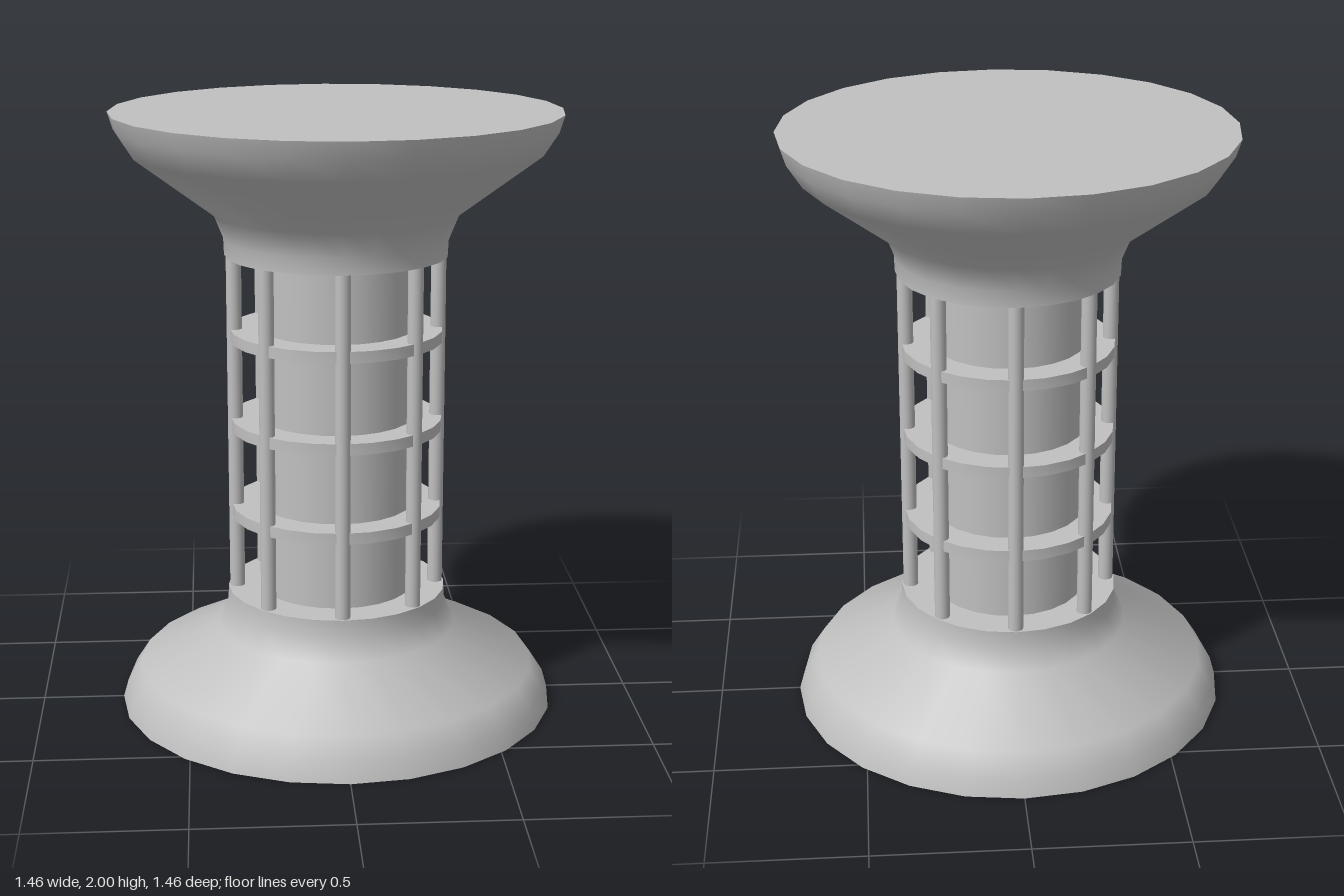
import * as THREE from 'three';
import { toCreasedNormals } from 'three/addons/utils/BufferGeometryUtils.js';

const SIDES = 24;
const CAGE_BOTTOM = 0.4;
const CAGE_TOP = 1.535;

// Solid of revolution with smooth flanks and sharp rims
function turned(name, points, material) {
  const profile = points.map(([r, y]) => new THREE.Vector2(r, y));
  const geometry = toCreasedNormals(new THREE.LatheGeometry(profile, SIDES), 1.0);
  const mesh = new THREE.Mesh(geometry, material);
  mesh.name = name;
  return mesh;
}

export function createModel() {
  const model = new THREE.Group();
  model.name = 'cagedPedestal';
  const grey = new THREE.MeshStandardMaterial({ color: 0xc0c0c0 });
  grey.name = 'grey';

  // Flared foot and head
  model.add(turned('base', [
    [0, 0], [0.73, 0], [0.713, 0.06], [0.665, 0.135], [0.4, 0.268],
    [0.367, 0.345], [0.365, CAGE_BOTTOM], [0, CAGE_BOTTOM],
  ], grey));
  model.add(turned('head', [
    [0, CAGE_TOP], [0.365, CAGE_TOP], [0.367, 1.59], [0.4, 1.672],
    [0.665, 1.87], [0.713, 1.945], [0.73, 2], [0, 2],
  ], grey));

  // Central column
  const height = CAGE_TOP - CAGE_BOTTOM;
  const middle = (CAGE_TOP + CAGE_BOTTOM) / 2;
  const column = new THREE.Mesh(new THREE.CylinderGeometry(0.255, 0.255, height, SIDES, 1, true), grey);
  column.name = 'column';
  column.position.y = middle;
  model.add(column);

  // Flat rings around the column
  for (const y of [0.672, 0.97, 1.27]) {
    model.add(turned('ring', [
      [0.25, y - 0.019], [0.35, y - 0.019], [0.35, y + 0.019], [0.25, y + 0.019],
    ], grey));
  }

  // Eight upright rods
  const rodGeometry = new THREE.CylinderGeometry(0.025, 0.025, height, 16, 1, true);
  for (let i = 0; i < 8; i++) {
    const angle = (i * Math.PI) / 4;
    const rod = new THREE.Mesh(rodGeometry, grey);
    rod.name = 'rod';
    rod.position.set(0.335 * Math.sin(angle), middle, 0.335 * Math.cos(angle));
    model.add(rod);
  }
  return model;
}
